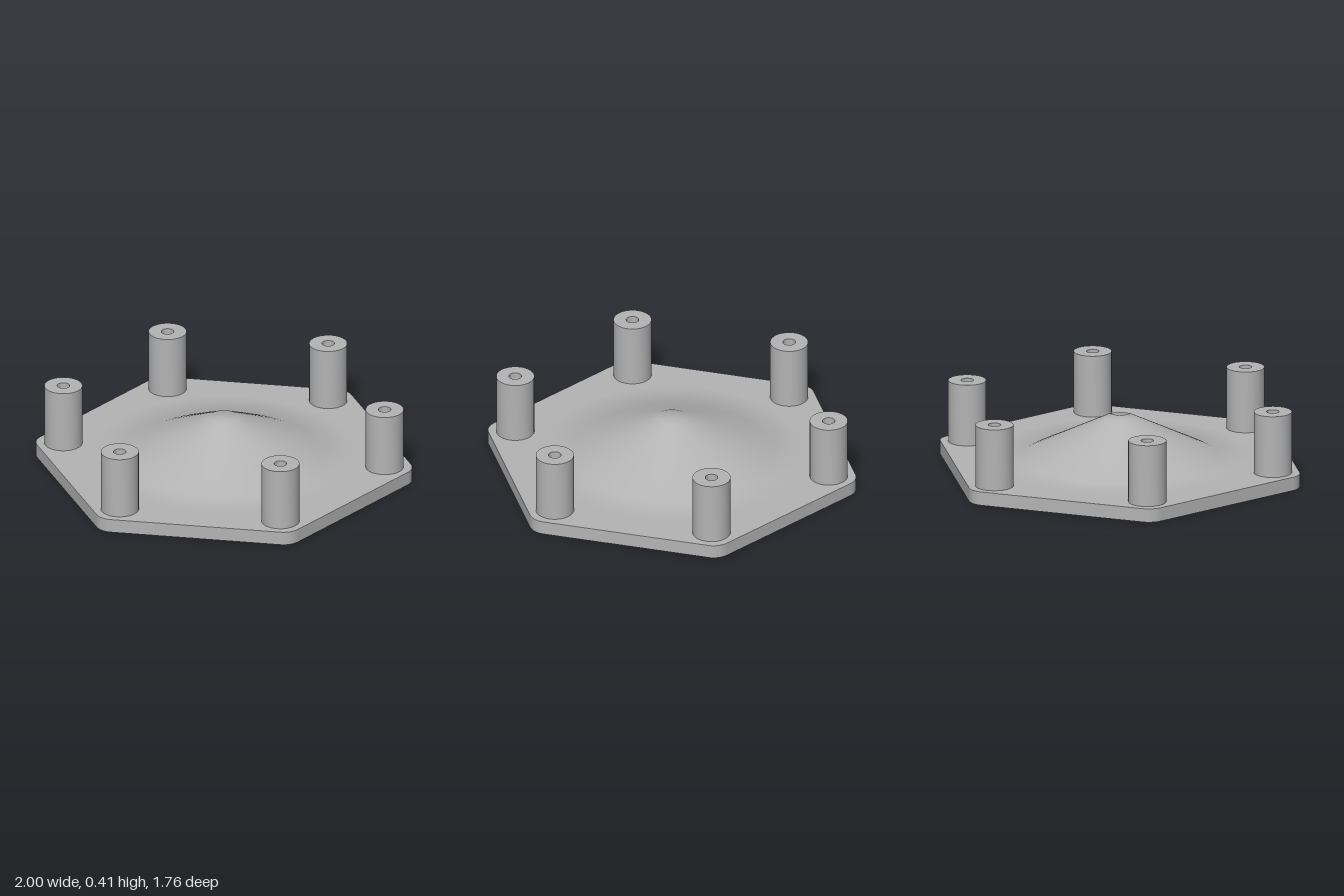
import * as THREE from 'three';
import { toCreasedNormals } from 'three/addons/utils/BufferGeometryUtils.js';

const PLATE_TOP = 0.073;
const RECESS_DEPTH = 0.03;
const POST_RING = 0.855;
const BORE = 0.06;

// Points on a ring of n, as shape coordinates (shape y becomes -z)
const ring = (n, radius, start = 0) =>
  Array.from({ length: n }, (_, i) => {
    const a = start + (i / n) * Math.PI * 2;
    return new THREE.Vector2(Math.cos(a) * radius, Math.sin(a) * radius);
  });

// Hexagon with rounded corners
function hexagon() {
  const shape = new THREE.Shape();
  ring(6, 0.9).forEach((c, i) => {
    const a = (i * Math.PI) / 3;
    shape.absarc(c.x, c.y, 0.1, a - Math.PI / 6, a + Math.PI / 6, false);
  });
  shape.closePath();
  return shape;
}

function addHoles(shape, centres, radius) {
  for (const c of centres) {
    const hole = new THREE.Path();
    hole.absarc(c.x, c.y, radius, 0, Math.PI * 2, true);
    shape.holes.push(hole);
  }
}

// Horizontal slab between two heights
function slab(shape, bottom, top) {
  const geometry = new THREE.ExtrudeGeometry(shape, {
    depth: top - bottom, bevelEnabled: false, curveSegments: 20,
  });
  geometry.rotateX(-Math.PI / 2).translate(0, bottom, 0);
  return toCreasedNormals(geometry, 0.6);
}

const lathe = (points, segments) =>
  new THREE.LatheGeometry(points.map(([r, y]) => new THREE.Vector2(r, y)), segments);

export function createModel() {
  const model = new THREE.Group();
  const grey = new THREE.MeshStandardMaterial({ color: 0xb4b4b4 });
  grey.name = 'grey';

  const add = (name, geometry) => {
    const mesh = new THREE.Mesh(geometry, grey);
    mesh.name = name;
    model.add(mesh);
    return mesh;
  };

  const postCentres = ring(6, POST_RING);

  // Underside layer with screw holes and three round recesses
  const lower = hexagon();
  addHoles(lower, postCentres, BORE);
  addHoles(lower, ring(3, 0.55, Math.PI / 2), 0.1);
  add('plateUnderside', slab(lower, 0, RECESS_DEPTH));

  // Upper layer closes the recesses
  const upper = hexagon();
  addHoles(upper, postCentres, BORE);
  add('plateTop', slab(upper, RECESS_DEPTH, PLATE_TOP));

  // Central mound, its shading blending into the plate
  add('centralMound', lathe([
    [0.7, PLATE_TOP + 0.001], [0.52, PLATE_TOP + 0.001], [0.08, 0.292], [0, 0.292],
  ], 64));

  // Hollow posts: narrow hole above, wide bore below
  const postGeometry = toCreasedNormals(lathe([
    [BORE, PLATE_TOP], [0.1, PLATE_TOP], [0.1, 0.405], [0.033, 0.405],
    [0.033, 0.2], [BORE, 0.2], [BORE, PLATE_TOP],
  ], 40), 0.6);
  for (const c of postCentres) add('post', postGeometry).position.set(c.x, 0, -c.y);

  return model;
}
